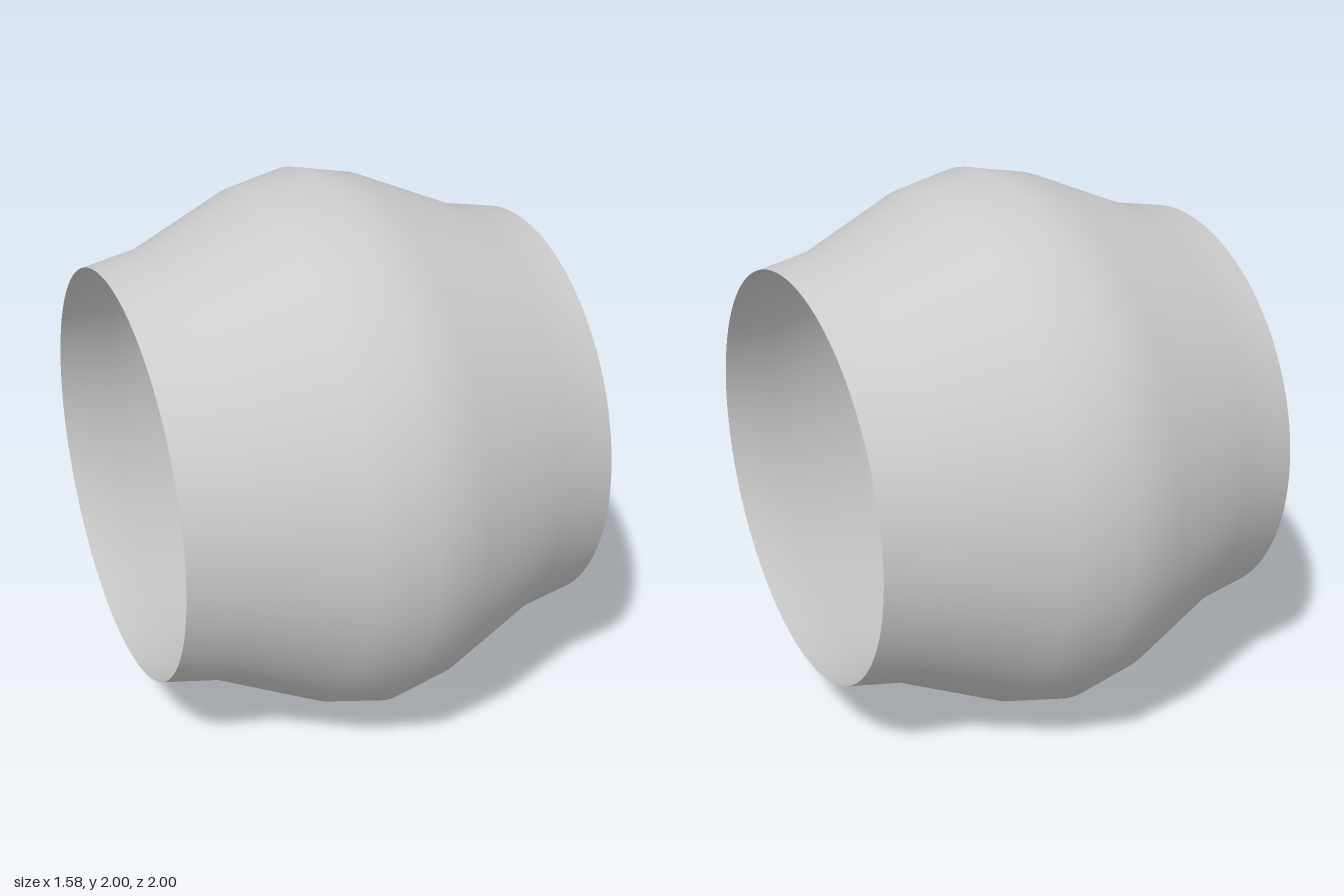
import * as THREE from 'three';

export function createModel() {
  const group = new THREE.Group();
  const material = new THREE.MeshStandardMaterial({ color: 0xcccccc, side: THREE.DoubleSide });

  // Half profile [distance from the middle, radius], mirrored to both ends
  const half = [[0.79, 0.75], [0.58, 0.79], [0.21, 0.955]];
  const profile = [
    ...half.map(([d, r]) => new THREE.Vector2(r, -d)),
    new THREE.Vector2(1, 0),
    ...half.toReversed().map(([d, r]) => new THREE.Vector2(r, d)),
  ];

  // Open bulging sleeve, turned around the x axis
  const geometry = new THREE.LatheGeometry(profile, 96);
  geometry.rotateZ(-Math.PI / 2);
  const sleeve = new THREE.Mesh(geometry, material);
  sleeve.name = 'bulgingSleeve';
  sleeve.position.y = 1;
  group.add(sleeve);

  return group;
}
